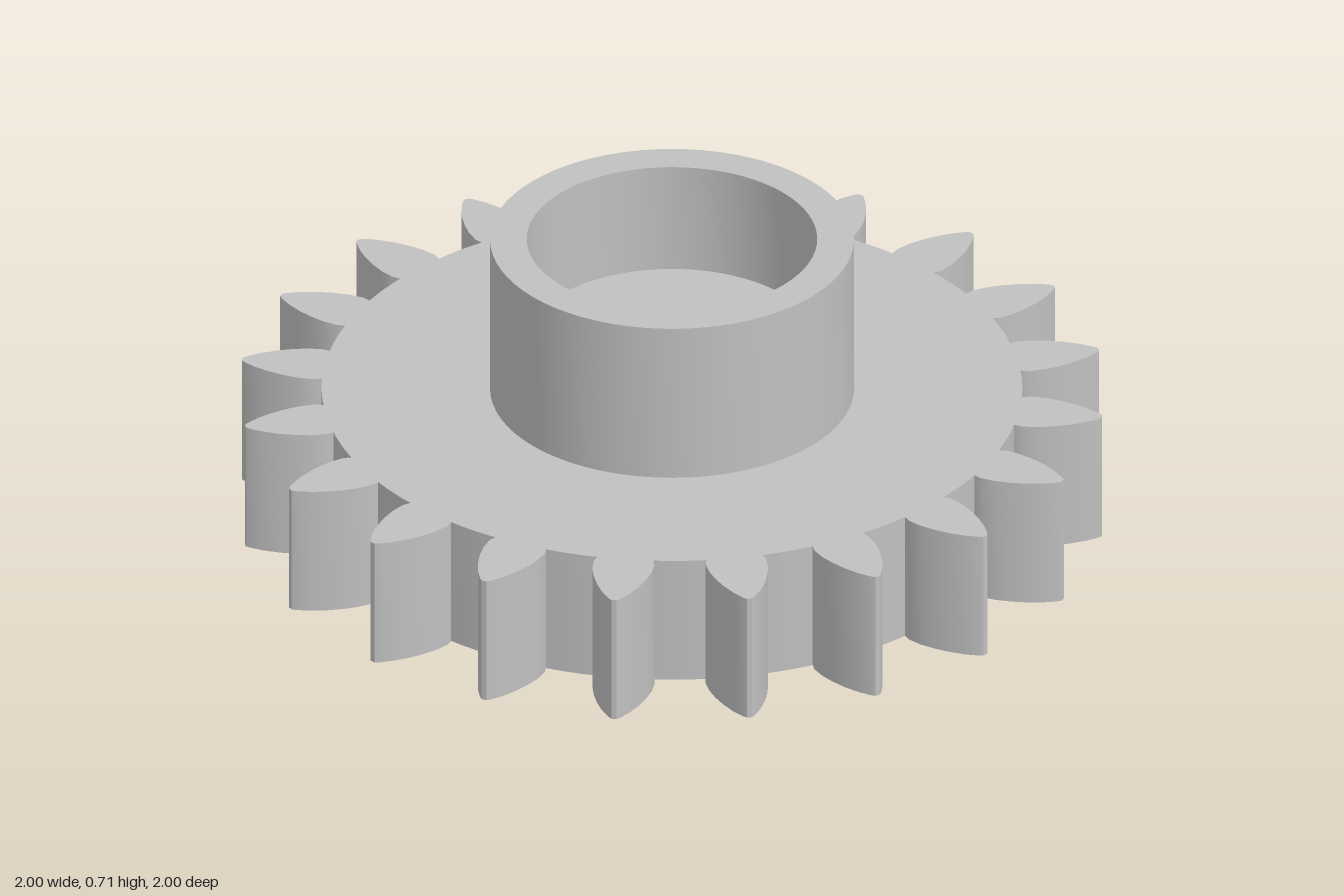
import * as THREE from 'three';
import { toCreasedNormals } from 'three/addons/utils/BufferGeometryUtils.js';

const TEETH = 20;
const GEAR_HEIGHT = 0.315;
const ROOT_RADIUS = 0.808;
const BORE_RADIUS = 0.228;

// Half tooth, root to tip: [distance from centre, half width]
const FLANK = [
  [0.805, 0.065], [0.825, 0.071], [0.86, 0.069], [0.895, 0.061],
  [0.93, 0.049], [0.965, 0.032], [0.992, 0.014], [1.0, 0.006],
];

// Toothed outline with a round bore
function gearShape() {
  const points = [];
  const pitch = (Math.PI * 2) / TEETH;
  const profile = [
    ...FLANK.map(([r, w]) => [r, -w]),
    ...[...FLANK].reverse().map(([r, w]) => [r, w]),
  ];
  const rootAngle = Math.atan2(FLANK[0][1], FLANK[0][0]);
  for (let i = 0; i < TEETH; i++) {
    const a = i * pitch;
    for (const [r, w] of profile) {
      points.push(new THREE.Vector2(
        r * Math.cos(a) - w * Math.sin(a),
        r * Math.sin(a) + w * Math.cos(a)));
    }
    // Rounded valley to the next tooth
    for (let k = 1; k < 4; k++) {
      const v = a + rootAngle + (pitch - 2 * rootAngle) * (k / 4);
      points.push(new THREE.Vector2(ROOT_RADIUS * Math.cos(v), ROOT_RADIUS * Math.sin(v)));
    }
  }
  const shape = new THREE.Shape(points);
  shape.holes.push(new THREE.Path().absarc(0, 0, BORE_RADIUS, 0, Math.PI * 2, true));
  return shape;
}

// Turned part with crisp corners
function turned(profile) {
  const points = profile.map(([r, y]) => new THREE.Vector2(r, y));
  return toCreasedNormals(new THREE.LatheGeometry(points, 72), 0.5);
}

export function createModel() {
  const group = new THREE.Group();
  group.name = 'spurGear';
  const grey = new THREE.MeshStandardMaterial({ color: 0xc0c0c0 });
  grey.name = 'plain grey';

  const add = (name, geometry) => {
    const mesh = new THREE.Mesh(geometry, grey);
    mesh.name = name;
    group.add(mesh);
  };

  // Toothed wheel
  const wheel = new THREE.ExtrudeGeometry(gearShape(), {
    depth: GEAR_HEIGHT, bevelEnabled: false, curveSegments: 72,
  });
  wheel.rotateX(-Math.PI / 2);
  add('toothedWheel', toCreasedNormals(wheel, 0.5));

  // Raised collar with a recessed floor
  add('hubCollar', turned([
    [0.42, GEAR_HEIGHT], [0.42, 0.71], [0.335, 0.71], [0.335, 0.44], [0, 0.44],
  ]));

  // Closed end of the bore in the underside
  add('boreEnd', turned([[0, 0.35], [BORE_RADIUS, 0.35], [BORE_RADIUS, GEAR_HEIGHT]]));

  return group;
}
